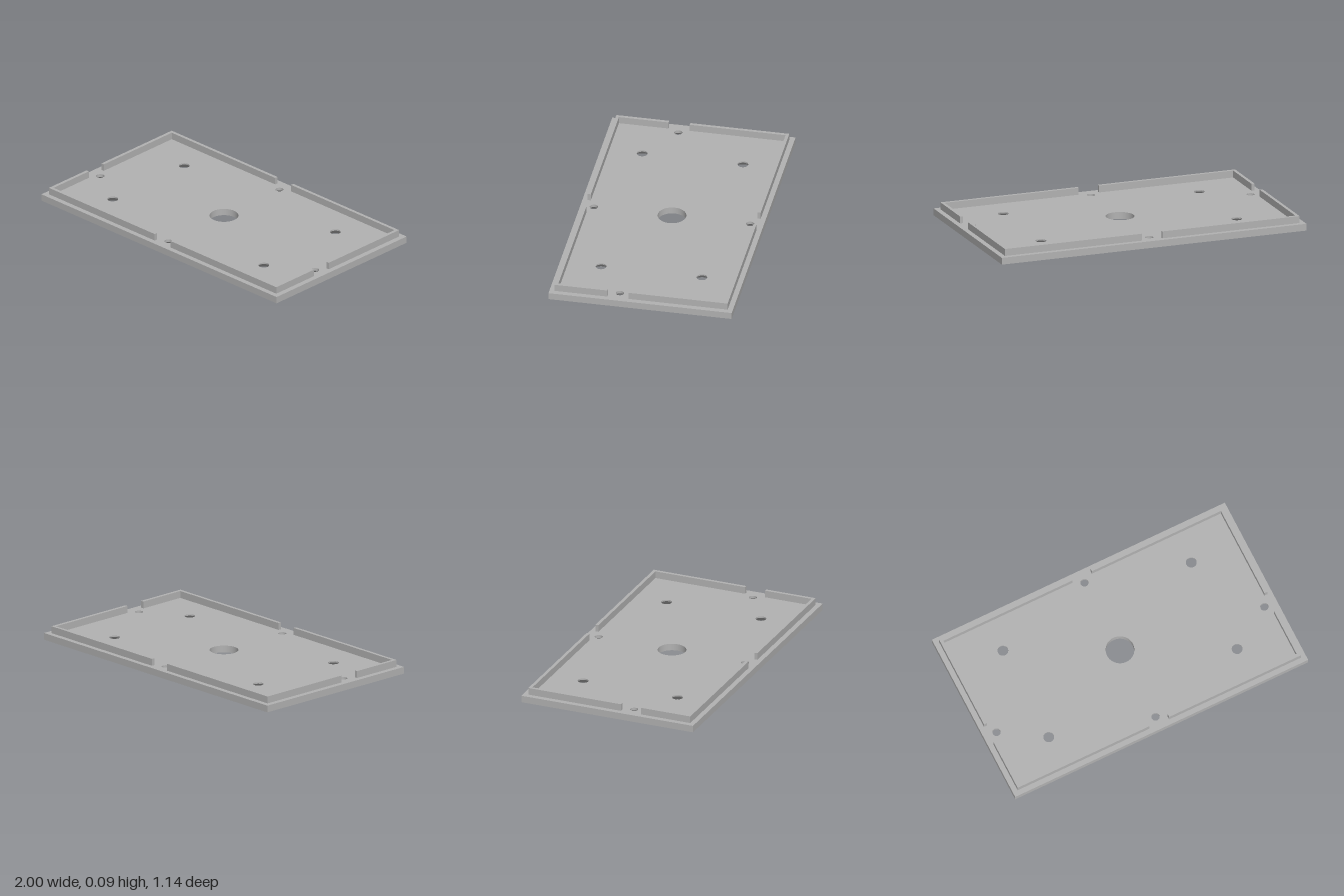
import * as THREE from 'three';

const W = 1, D = 0.571, T = 0.043, LIP_TOP = 0.087;

// x, z, radius at the top, radius at the underside, depth of the countersink
const HOLES = [
  { name: 'centreHole', x: 0, z: 0, r: 0.088, R: 0.088, sink: 0 },
  ...[-1, 1].flatMap((sx) => [-1, 1].map((sz) => (
    { name: 'largeScrewHole', x: sx * 0.643, z: sz * 0.314, r: 0.033, R: 0.067, sink: 0.034 }))),
  ...[[0, -0.487], [0, 0.487], [-0.914, 0.143], [0.914, 0.143]].map(([x, z]) => (
    { name: 'smallScrewHole', x, z, r: 0.025, R: 0.05, sink: 0.025 })),
];

export function createModel() {
  const model = new THREE.Group();
  const grey = new THREE.MeshStandardMaterial({ color: 0xb2b2b2 });
  grey.name = 'grey';

  const add = (name, geometry, x = 0, y = 0, z = 0) => {
    const mesh = new THREE.Mesh(geometry, grey);
    mesh.name = name;
    mesh.position.set(x, y, z);
    model.add(mesh);
    return mesh;
  };

  // Flat plate outline, pierced by the holes; zSign maps shape y to z
  const face = (key, zSign) => {
    const shape = new THREE.Shape([[-W, -D], [W, -D], [W, D], [-W, D]].map((p) => new THREE.Vector2(...p)));
    for (const h of HOLES) {
      shape.holes.push(new THREE.Path().absarc(h.x, zSign * h.z, h[key], 0, Math.PI * 2, true));
    }
    return new THREE.ShapeGeometry(shape, 24).rotateX(zSign * Math.PI / 2);
  };
  add('plateTop', face('r', -1), 0, T, 0);
  add('plateUnderside', face('R', 1));

  // Plate edges
  for (let i = 0; i < 4; i++) {
    const [length, offset] = i % 2 ? [2 * D, W] : [2 * W, D];
    const edge = new THREE.PlaneGeometry(length, T).translate(0, T / 2, offset);
    add('plateEdge', edge.rotateY(i * Math.PI / 2));
  }

  // Hole walls: straight bore above, conical countersink below, facing inward
  const wall = (name, h, r1, y1, r0, y0) => add(name, new THREE.LatheGeometry(
    [new THREE.Vector2(r1, y1), new THREE.Vector2(r0, y0)], 48), h.x, 0, h.z);
  for (const h of HOLES) {
    wall(h.name, h, h.r, T, h.r, h.sink);
    if (h.sink) wall(h.name + 'Countersink', h, h.r, h.sink, h.R, 0);
  }

  // Corner lips: L-shaped walls with gaps beside the small holes
  const X = 0.967, Z = 0.539, t = 0.02, gapX = 0.067;
  for (const sx of [-1, 1]) {
    for (const [sz, end] of [[-1, 0.078], [1, 0.21]]) {
      const outline = [
        [gapX, sz * Z], [X, sz * Z], [X, end],
        [X - t, end], [X - t, sz * (Z - t)], [gapX, sz * (Z - t)],
      ].map(([x, z]) => new THREE.Vector2(sx * x, -z));
      const lip = new THREE.ExtrudeGeometry(new THREE.Shape(outline), { depth: LIP_TOP - T, bevelEnabled: false });
      add(sz < 0 ? 'backCornerLip' : 'frontCornerLip', lip.rotateX(-Math.PI / 2), 0, T, 0);
    }
  }
  return model;
}
